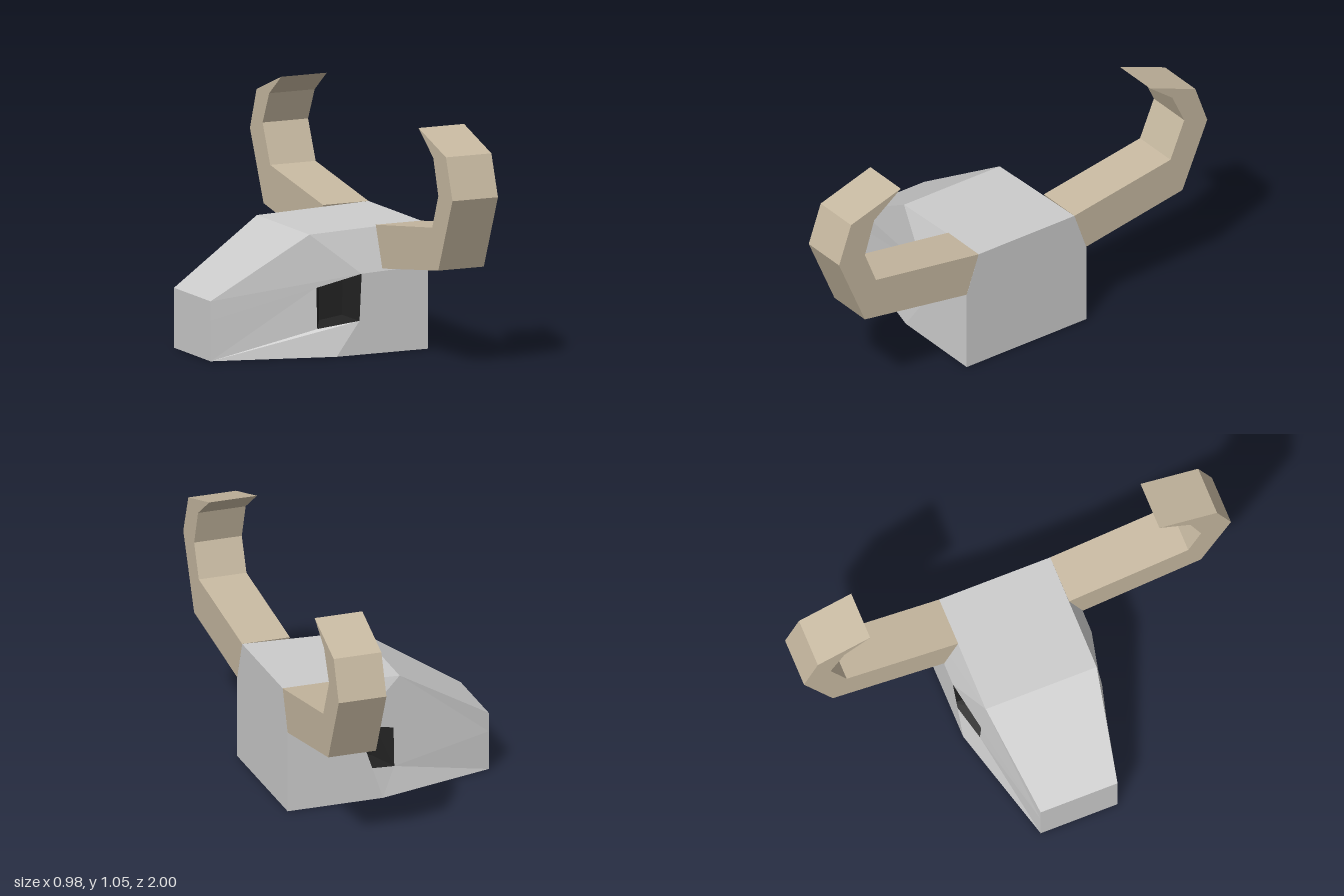
import * as THREE from 'three';

const CZ = -0.018; // mid-plane of the skull

// Flat-shaded mesh from polygons of [x, y, z], each fanned from its first corner
function polyMesh(name, polys, color) {
  const pos = [];
  for (const p of polys)
    for (let i = 1; i < p.length - 1; i++) pos.push(...p[0], ...p[i], ...p[i + 1]);
  const geo = new THREE.BufferGeometry();
  geo.setAttribute('position', new THREE.Float32BufferAttribute(pos, 3));
  geo.computeVertexNormals();
  const mesh = new THREE.Mesh(geo, new THREE.MeshStandardMaterial({ color, flatShading: true }));
  mesh.name = name;
  return mesh;
}

// Mirror polygons of [x, y, halfWidth] onto one side of the skull
const onSide = (polys, s) => polys.map((p) => {
  const q = p.map(([x, y, w]) => [x, y, CZ + s * w]);
  return s > 0 ? q : q.reverse();
});

// Horn profile in [z, y], extruded across x
function horn(name, profile) {
  const shape = new THREE.Shape(profile.map(([z, y]) => new THREE.Vector2(-z, y)));
  const geo = new THREE.ExtrudeGeometry(shape, { depth: 0.22, bevelEnabled: false });
  geo.rotateY(Math.PI / 2).translate(0.27, 0, 0);
  const mesh = new THREE.Mesh(geo, new THREE.MeshStandardMaterial({ color: 0xc6b8a0, flatShading: true }));
  mesh.name = name;
  return mesh;
}

export function createModel() {
  const group = new THREE.Group();
  group.name = 'hornedSkull';

  // Landmarks of one half: [x, y, half width]
  const jaw = [-0.49, 0, 0.18], nose = [-0.49, 0.265, 0.18], slit = [-0.49, 0.178, 0.18];
  const cheekTop = [-0.02, 0.302, 0.265], cheekLow = [-0.02, 0.12, 0.275];
  const socketLow = [0.16, 0.15, 0.325], brow = [0.17, 0.357, 0.325];
  const jawBack = [0.05, 0, 0.325], rearLow = [0.49, 0, 0.325], rearMid = [0.49, 0.37, 0.325];
  const forehead = [-0.05, 0.537, 0.26], crown = [0.49, 0.555, 0.26];

  const sidePolys = [
    [jaw, jawBack, socketLow, cheekLow],
    [jaw, cheekLow, cheekTop, slit],
    [slit, cheekTop, brow],
    [rearLow, rearMid, brow, socketLow, jawBack],
    [brow, forehead, nose, slit],
    [brow, rearMid, crown, forehead],
  ];

  // Faces that span both halves
  const l = ([x, y, w]) => [x, y, CZ + w];
  const r = ([x, y, w]) => [x, y, CZ - w];
  const span = (a, b) => [l(a), l(b), r(b), r(a)];
  const middle = [
    span(forehead, crown),
    span(nose, forehead),
    span(jaw, nose),
    [l(rearLow), r(rearLow), r(rearMid), r(crown), l(crown), l(rearMid)],
    [r(jaw), r(jawBack), r(rearLow), l(rearLow), l(jawBack), l(jaw)],
  ];
  group.add(polyMesh('skull', [...middle, ...onSide(sidePolys, 1), ...onSide(sidePolys, -1)], 0xcccccc));

  // Dark recessed eye sockets
  const rim = [cheekLow, socketLow, brow, cheekTop];
  const floor = [[0.045, 0.135, 0.16], [0.155, 0.15, 0.16], [0.16, 0.335, 0.16], [0.045, 0.31, 0.16]];
  const socket = [floor, ...rim.map((p, i) => {
    const j = (i + 1) % 4;
    return [p, rim[j], floor[j], floor[i]];
  })];
  group.add(polyMesh('leftEyeSocket', onSide(socket, 1), 0x222222));
  group.add(polyMesh('rightEyeSocket', onSide(socket, -1), 0x222222));

  // Curved horns
  group.add(horn('leftHorn', [[0.307, 0.372], [0.86, 0.455], [1, 0.785], [0.935, 0.968], [0.665, 1.053],
    [0.81, 0.945], [0.86, 0.785], [0.8, 0.635], [0.242, 0.555]]));
  group.add(horn('rightHorn', [[-0.343, 0.372], [-0.865, 0.465], [-1, 0.775], [-0.935, 0.958], [-0.69, 1.053],
    [-0.81, 0.96], [-0.875, 0.82], [-0.8, 0.645], [-0.278, 0.555]]));
  return group;
}
